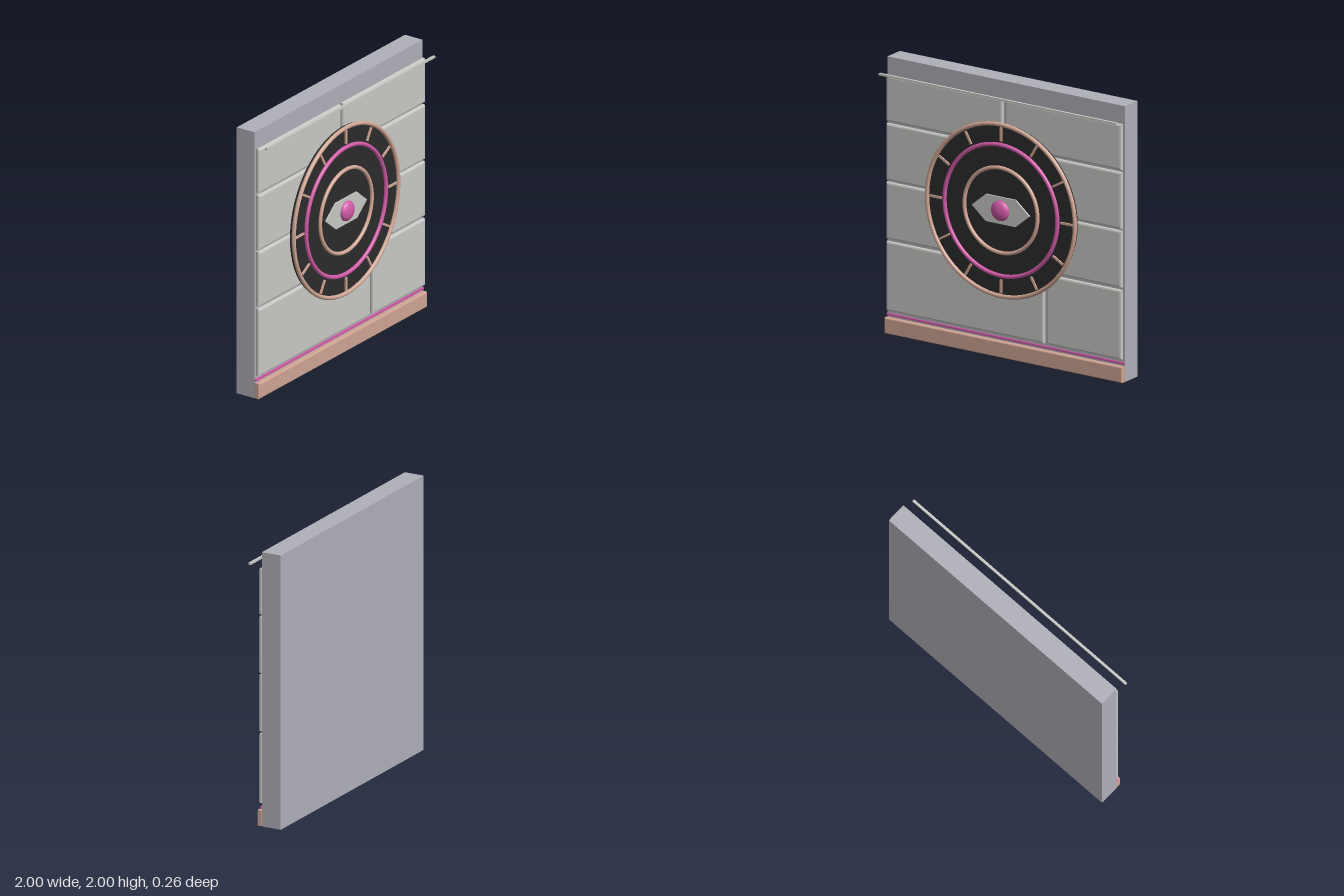
import * as THREE from 'three';

const mat = (name, color) => {
  const m = new THREE.MeshStandardMaterial({ color });
  m.name = name;
  return m;
};

export function createModel() {
  const slabGrey = mat('slab grey', 0xb0b0b9);
  const panelGrey = mat('panel grey', 0xc8c8c5);
  const charcoal = mat('charcoal', 0x2b2b2b);
  const copper = mat('copper', 0xd0a594);
  const magenta = mat('magenta', 0xd05aa6);

  const root = new THREE.Group();
  root.name = 'wallPanel';

  const add = (name, geometry, material, x = 0, y = 0, z = 0, parent = root) => {
    const mesh = new THREE.Mesh(geometry, material);
    mesh.name = name;
    mesh.position.set(x, y, z);
    parent.add(mesh);
    return mesh;
  };

  // Box given by its limits
  const box = (name, material, x0, x1, y0, y1, z0, z1) =>
    add(name, new THREE.BoxGeometry(x1 - x0, y1 - y0, z1 - z0), material,
      (x0 + x1) / 2, (y0 + y1) / 2, (z0 + z1) / 2);

  // Box with chamfered edges on all sides
  const bevelBox = (name, material, x0, x1, y0, y1, z0, z1, b) => {
    const s = new THREE.Shape();
    s.moveTo(x0 + b, y0 + b);
    s.lineTo(x1 - b, y0 + b);
    s.lineTo(x1 - b, y1 - b);
    s.lineTo(x0 + b, y1 - b);
    s.closePath();
    const g = new THREE.ExtrudeGeometry(s, {
      depth: z1 - z0 - 2 * b, bevelEnabled: true,
      bevelThickness: b, bevelSize: b, bevelSegments: 2,
    });
    return add(name, g, material, 0, 0, z0 + b);
  };

  // Backing slab
  box('slab', slabGrey, -1, 1, 0, 2, -0.13, 0.02);

  // Stone panels: [bottom, top, x limits of each panel]
  const rows = [
    [0.165, 0.67, [-0.99, 0.337], [0.362, 0.99]],
    [0.687, 1.1, [-0.99, 0.99]],
    [1.113, 1.525, [-0.99, 0.99]],
    [1.54, 1.873, [-0.99, -0.012], [0.012, 0.99]],
  ];
  for (const [y0, y1, ...spans] of rows)
    for (const [x0, x1] of spans)
      bevelBox('panel', panelGrey, x0, x1, y0, y1, 0.02, 0.054, 0.014);

  // Skirting, accent strip and top rail
  bevelBox('skirting', copper, -1, 1, 0, 0.115, 0.018, 0.06, 0.008);
  box('accentStrip', magenta, -1, 1, 0.127, 0.141, 0.02, 0.034);
  box('topRail', panelGrey, -1, 1, 1.89, 1.905, 0.11, 0.128);

  // Round emblem
  const emblem = new THREE.Group();
  emblem.name = 'emblem';
  emblem.position.set(0, 1.08, 0);
  root.add(emblem);

  const disc = new THREE.CylinderGeometry(0.625, 0.625, 0.025, 64).rotateX(Math.PI / 2);
  add('disc', disc, charcoal, 0, 0, 0.0655, emblem);

  const ring = (name, material, radius, tube) =>
    add(name, new THREE.TorusGeometry(radius, tube, 12, 72), material, 0, 0, 0.084, emblem);
  ring('outerRing', copper, 0.622, 0.015);
  ring('middleRing', magenta, 0.475, 0.015);
  ring('innerRing', copper, 0.308, 0.014);

  // Twelve dial ticks
  const tickGeometry = new THREE.BoxGeometry(0.1, 0.016, 0.014);
  for (let i = 0; i < 12; i++) {
    const a = (i * Math.PI) / 6;
    const tick = add('tick', tickGeometry, copper,
      0.552 * Math.cos(a), 0.552 * Math.sin(a), 0.082, emblem);
    tick.rotation.z = a;
  }

  // Six-sided eye with a domed pupil
  const eye = new THREE.Shape([
    [-0.243, 0], [-0.125, -0.098], [0.125, -0.098],
    [0.243, 0], [0.125, 0.098], [-0.125, 0.098],
  ].map(([x, y]) => new THREE.Vector2(x, y)));
  add('eye', new THREE.ExtrudeGeometry(eye, { depth: 0.014, bevelEnabled: false }),
    panelGrey, 0, 0, 0.076, emblem);
  const pupil = add('pupil', new THREE.SphereGeometry(0.074, 32, 20), magenta, 0, 0, 0.093, emblem);
  pupil.scale.z = 0.5;

  return root;
}
